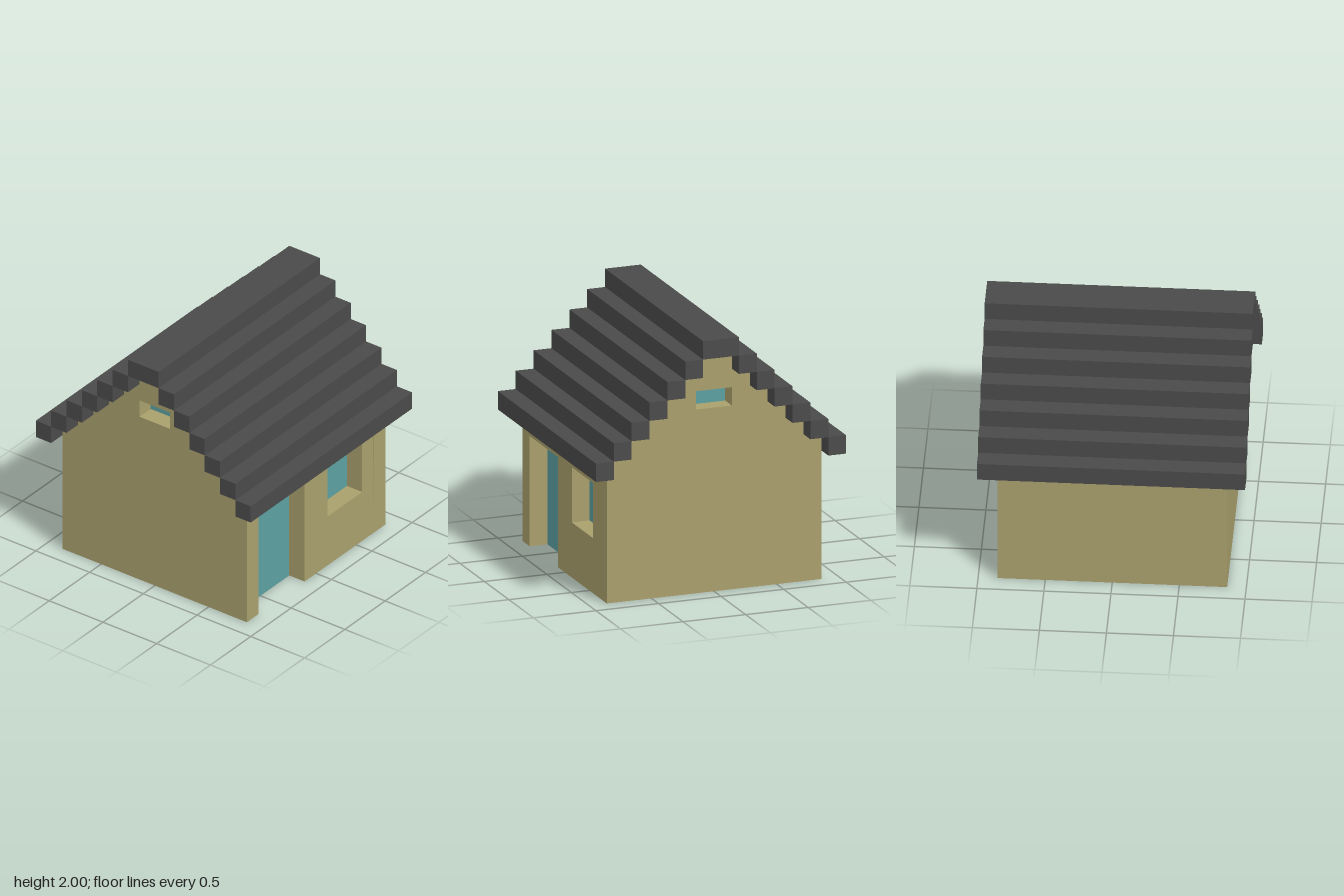
import * as THREE from 'three';

const U = 1 / 7; // one block

const wallMat = new THREE.MeshStandardMaterial({ name: 'sand wall', color: 0xa9a06c });
const glassMat = new THREE.MeshStandardMaterial({ name: 'teal panel', color: 0x5ca0a1 });
const roofMat = new THREE.MeshStandardMaterial({ name: 'charcoal roof', color: 0x4a4a4a });

// All helpers take sizes in blocks.
function add(group, name, geometry, material) {
  geometry.scale(U, U, U);
  const mesh = new THREE.Mesh(geometry, material);
  mesh.name = name;
  group.add(mesh);
}

function box(x0, x1, y0, y1, z0, z1) {
  return new THREE.BoxGeometry(x1 - x0, y1 - y0, z1 - z0)
    .translate((x0 + x1) / 2, (y0 + y1) / 2, (z0 + z1) / 2);
}

function polygon(points) {
  return points.map(([x, y]) => new THREE.Vector2(x, y));
}

function rectHole(x0, x1, y0, y1) {
  return new THREE.Path(polygon([[x0, y0], [x0, y1], [x1, y1], [x1, y0]]));
}

function extrude(shape, depth) {
  return new THREE.ExtrudeGeometry(shape, { depth, bevelEnabled: false });
}

// Stepped gable outline in (z, y); the lower front stops at z = front.
function gableShape(front) {
  const pts = [[-6, 0], [front, 0], [front, 7]];
  if (front < 6) pts.push([6, 7]);
  for (let k = 0; k < 6; k++) {
    pts.push([6 - k, 8 + k]);
    if (k < 5) pts.push([5 - k, 8 + k]);
  }
  for (let k = 5; k >= 0; k--) {
    pts.push([k - 6, 8 + k]);
    if (k > 0) pts.push([k - 6, 7 + k]);
  }
  return new THREE.Shape(polygon(pts));
}

// Extrude a (z, y) shape along x from x0 to x1.
function extrudeX(shape, x0, x1) {
  return extrude(shape, x1 - x0).rotateY(-Math.PI / 2).translate(x1, 0, 0);
}

export function createModel() {
  const house = new THREE.Group();
  house.name = 'house';

  // Solid middle of the house
  add(house, 'houseCore', extrudeX(gableShape(4), -5, 5), wallMat);

  // Front wall with the doorway and window opening
  const front = new THREE.Shape(polygon([[-1, 0], [5, 0], [5, 7], [-5, 7], [-5, 6], [-1, 6]]));
  front.holes.push(rectHole(1, 4, 3, 6));
  add(house, 'frontWall', extrude(front, 2).translate(0, 0, 4), wallMat);
  add(house, 'door', box(-5, -1, 0, 6, 4, 5), glassMat);
  add(house, 'frontWindow', box(1, 4, 3, 6, 4, 5), glassMat);

  // Gable end walls with a small recessed window each
  for (const side of [-1, 1]) {
    const label = side > 0 ? 'left' : 'right';
    const gable = gableShape(6);
    gable.holes.push(rectHole(-1, 1, 10, 11));
    const x0 = side > 0 ? 5 : -6;
    add(house, label + 'GableWall', extrudeX(gable, x0, x0 + 1), wallMat);
    const pane = box(-0.02, 0.02, 10, 11, -1, 1).translate(side * 5.02, 0, 0);
    add(house, label + 'GableWindow', pane, glassMat);
  }

  // Stepped roof rows and the ridge
  for (let k = 0; k < 6; k++) {
    add(house, 'frontRoofRow' + (k + 1), box(-7, 7, 7 + k, 8 + k, 6 - k, 7 - k), roofMat);
    add(house, 'backRoofRow' + (k + 1), box(-7, 7, 7 + k, 8 + k, k - 7, k - 6), roofMat);
  }
  add(house, 'roofRidge', box(-7, 7, 13, 14, -1, 1), roofMat);

  return house;
}
